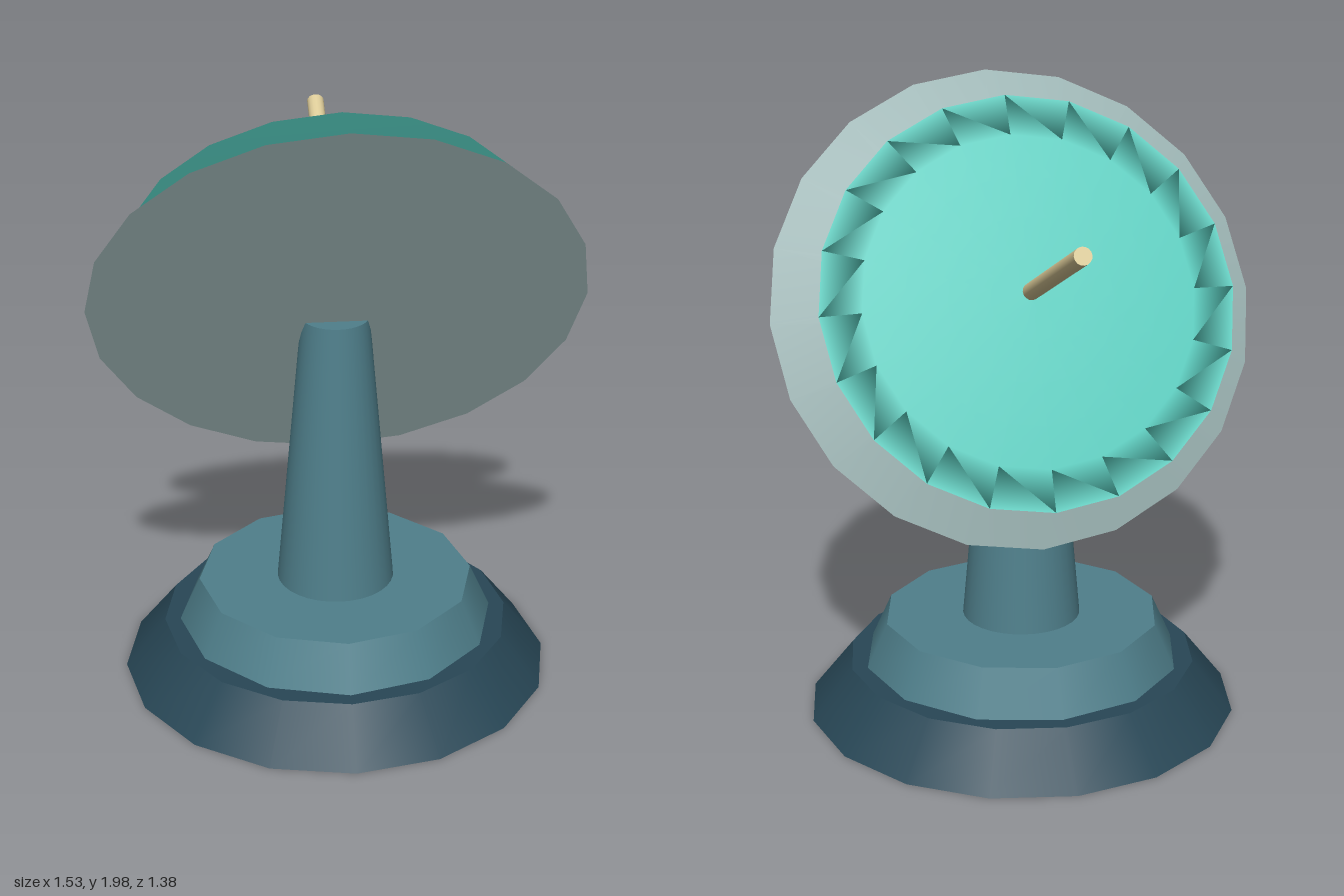
import * as THREE from 'three';

const COLORS = { base: 0x284756, metal: 0x4f7f8b, shell: 0x9bb3b2, face: 0x55cbbd, rod: 0xdccb98 };

function part(name, geometry, color) {
  const mesh = new THREE.Mesh(geometry, new THREE.MeshStandardMaterial({ color }));
  mesh.name = name;
  return mesh;
}

// Tapered round section standing between two heights
function tier(name, y0, y1, r0, r1, sides, color) {
  const mesh = part(name, new THREE.CylinderGeometry(r1, r0, y1 - y0, sides), color);
  mesh.position.set(0, (y0 + y1) / 2, 0.01);
  return mesh;
}

export function createModel() {
  const model = new THREE.Group();
  model.name = 'dishAntenna';

  // Stepped base and tapered column
  model.add(
    tier('lowerBase', 0, 0.165, 0.685, 0.555, 16, COLORS.base),
    tier('upperBase', 0.165, 0.31, 0.505, 0.44, 12, COLORS.metal),
    tier('column', 0.31, 1.22, 0.187, 0.106, 32, COLORS.metal),
  );

  // Tilted head: local +y points back and up
  const head = new THREE.Group();
  head.name = 'head';
  head.position.set(0, 1.305, 0.102);
  head.rotation.x = -1.071;
  model.add(head);

  const shell = part('dishShell', new THREE.CylinderGeometry(0.245, 0.765, 0.218, 20), COLORS.shell);
  shell.position.y = 0.109;
  head.add(shell);

  // Thin shallow dome closed by a flat underside, set slightly above the shell axis
  const rim = 0.648, depth = 0.03;
  const profile = [new THREE.Vector2(0, 0), new THREE.Vector2(rim, 0)];
  for (let i = 4; i >= 0; i--) {
    const t = i / 5;
    profile.push(new THREE.Vector2(rim * t, depth * (1 - t * t)));
  }
  const face = part('dishFace', new THREE.LatheGeometry(profile, 20), COLORS.face);
  face.material.side = THREE.DoubleSide;
  face.position.set(0, 0.212, -0.03);
  head.add(face);

  // Feed rod rising from the middle of the dish
  const start = new THREE.Vector3(0, 1.4, -0.08);
  const end = new THREE.Vector3(0, 1.682, -0.674);
  const axis = end.clone().sub(start);
  const rod = part('feedRod', new THREE.CylinderGeometry(0.027, 0.027, axis.length(), 16), COLORS.rod);
  rod.position.copy(start).add(end).multiplyScalar(0.5);
  rod.quaternion.setFromUnitVectors(new THREE.Vector3(0, 1, 0), axis.normalize());
  model.add(rod);

  return model;
}
